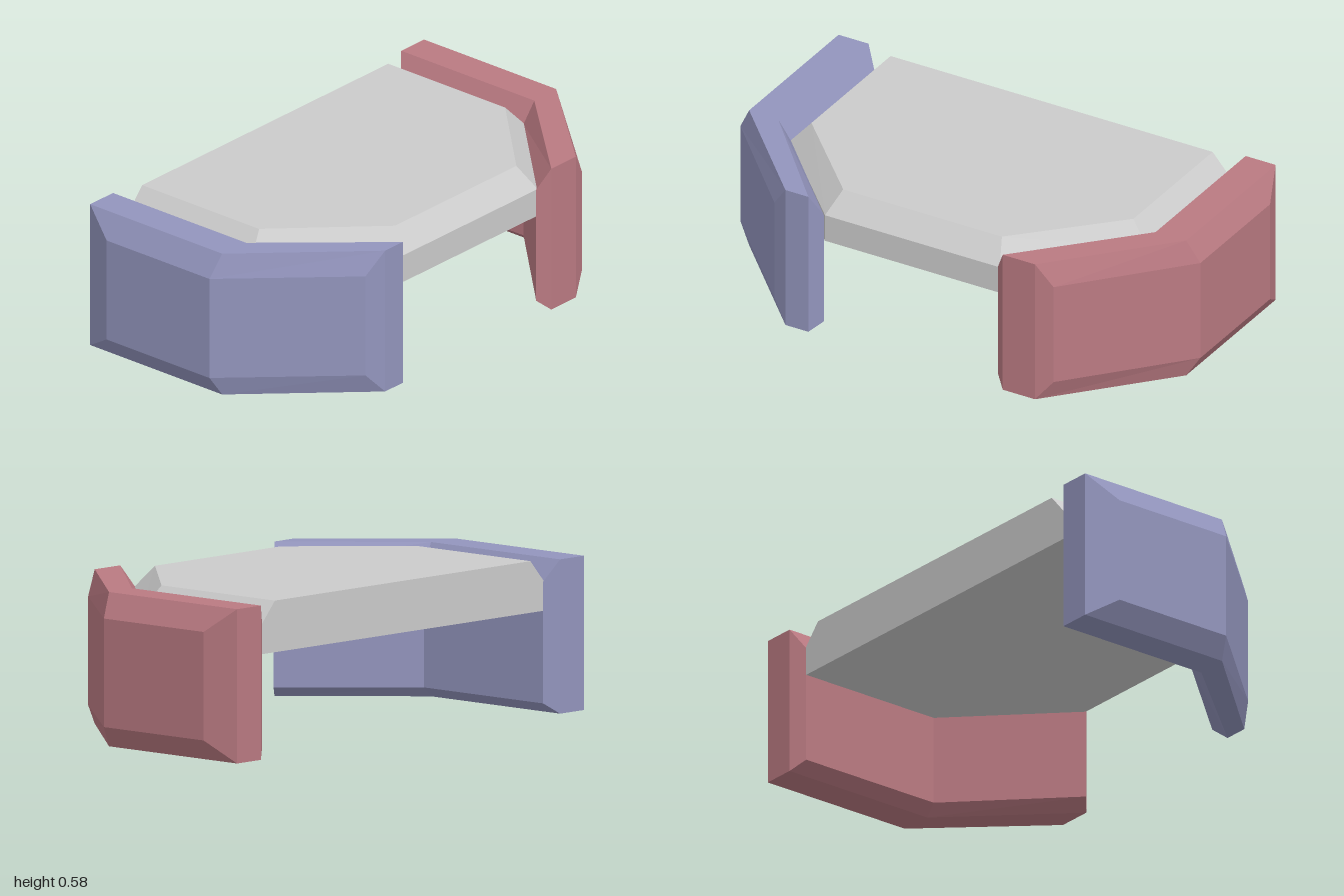
import * as THREE from 'three';

// Skin closed rings of [x, y, z]; each ring runs clockwise seen from ahead of the sweep
function loft(name, rings, color) {
  const pos = [];
  const quad = (a, b, c, d) => pos.push(...a, ...b, ...c, ...a, ...c, ...d);
  const n = rings[0].length;
  for (let i = 0; i < rings.length - 1; i++) {
    const s = rings[i], t = rings[i + 1];
    for (let j = 0; j < n; j++) {
      const k = (j + 1) % n;
      quad(s[j], t[j], t[k], s[k]);
    }
  }
  // end caps as strips across the ring
  const first = rings[0], last = rings[rings.length - 1];
  for (let k = 0; k < n / 2 - 1; k++) {
    const [a, b, c, d] = [k, k + 1, n - 2 - k, n - 1 - k];
    quad(first[a], first[b], first[c], first[d]);
    quad(last[d], last[c], last[b], last[a]);
  }
  const geo = new THREE.BufferGeometry();
  geo.setAttribute('position', new THREE.Float32BufferAttribute(pos, 3));
  geo.computeVertexNormals();
  const mesh = new THREE.Mesh(geo, new THREE.MeshStandardMaterial({ color, flatShading: true }));
  mesh.name = name;
  return mesh;
}

// Bent side panel: each station lists [x, z] of outer face, outer rim, inner rim, inner face
function sidePanel(name, frontEnd, side, color) {
  const stations = [
    [[-0.425, 1], [-0.55, 0.95], [-0.55, 0.82], [-0.51, 0.77]],
    [[0.085, 1], [0.105, 0.95], [0.11, 0.82], [0.1, 0.77]],
    frontEnd,
  ];
  const top = [0.49, 0.583, 0.583, 0.5];
  const bottom = [0.08, 0, 0, 0.04];
  const rings = stations.map((st) => {
    const up = st.map(([x, z], i) => [x, top[i], z * side]);
    const down = st.map(([x, z], i) => [x, bottom[i], z * side]).reverse();
    const ring = [...up, ...down];
    return side > 0 ? ring : ring.reverse();
  });
  return loft(name, rings, color);
}

// Half-hexagon outline of the desk top at height y
function deskRing(y, cornerX, sideZ, frontX, frontZ) {
  const half = [[-0.51, sideZ], [cornerX, sideZ], [frontX, frontZ]];
  return [
    ...half.map(([x, z]) => [x, y, -z]),
    ...half.reverse().map(([x, z]) => [x, y, z]),
  ];
}

export function createModel() {
  const group = new THREE.Group();
  group.name = 'desk';

  // slab with bevelled upper edges
  group.add(loft('deskTop', [
    deskRing(0.39, 0.1, 0.775, 0.51, 0.38),
    deskRing(0.5, 0.1, 0.775, 0.51, 0.38),
    deskRing(0.585, 0.07, 0.7, 0.435, 0.345),
  ], 0xcccccc));

  // bent panels on either side
  group.add(sidePanel('frontSidePanel',
    [[0.51, 0.6], [0.547, 0.53], [0.547, 0.43], [0.51, 0.385]], 1, 0x9395bd));
  group.add(sidePanel('rearSidePanel',
    [[0.52, 0.62], [0.547, 0.555], [0.547, 0.415], [0.51, 0.372]], -1, 0xba7a82));
  return group;
}
